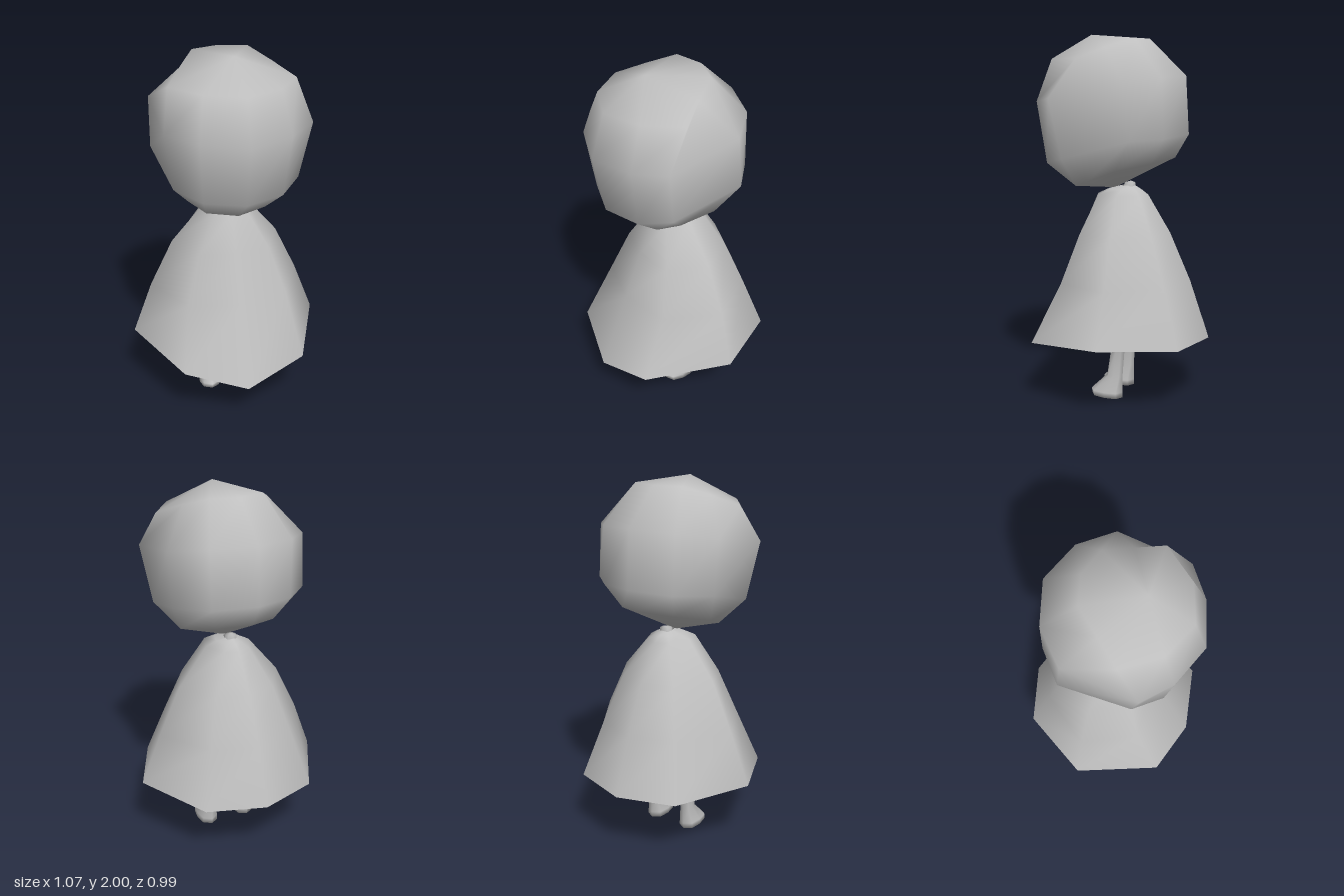
import * as THREE from 'three';

const grey = new THREE.MeshStandardMaterial({ color: 0xbfbfbf, side: THREE.DoubleSide });
grey.name = 'plain grey';

// Smooth skin over rings listed bottom to top; optional end points close it.
function loft(name, rings, bottom, top) {
  const n = rings[0].length, pos = rings.flat(2), index = [];
  for (let i = 0; i < rings.length - 1; i++) {
    for (let j = 0; j < n; j++) {
      const a = i * n + j, b = i * n + (j + 1) % n;
      index.push(a, b, b + n, a, b + n, a + n);
    }
  }
  const last = (rings.length - 1) * n;
  if (bottom) {
    const c = pos.length / 3;
    pos.push(...bottom);
    for (let j = 0; j < n; j++) index.push(c, (j + 1) % n, j);
  }
  if (top) {
    const c = pos.length / 3;
    pos.push(...top);
    for (let j = 0; j < n; j++) index.push(c, last + j, last + (j + 1) % n);
  }
  const geo = new THREE.BufferGeometry();
  geo.setAttribute('position', new THREE.Float32BufferAttribute(pos, 3));
  geo.setIndex(index);
  geo.computeVertexNormals();
  const mesh = new THREE.Mesh(geo, grey);
  mesh.name = name;
  return mesh;
}

// Completes a ring from its +x half, given front to back.
const mirrorRing = half => [
  ...half,
  ...half.slice(1, -1).reverse().map(([x, y, z]) => [-x, y, z]),
];

// Slightly squared oval ring: centre x, half width, front z and y, back z and y.
function oval(cx, w, zf, yf, zb, yb, n = 8) {
  return Array.from({ length: n }, (_, j) => {
    const a = j / n * Math.PI * 2, s = Math.sin(a), t = (1 - Math.cos(a)) / 2;
    return [cx + w * Math.sign(s) * Math.abs(s) ** 0.6, yf + (yb - yf) * t, zf + (zb - zf) * t];
  });
}

// Ten-sided head whose rings tip down towards the face
function head() {
  const rings = [
    [[0, 1.18, 0.27], [0.16, 1.19, 0.215], [0.235, 1.225, 0.12],
      [0.295, 1.287, -0.05], [0.17, 1.32, -0.21], [0, 1.345, -0.30]],
    [[0, 1.305, 0.425], [0.21, 1.315, 0.36], [0.335, 1.35, 0.23],
      [0.378, 1.45, -0.15], [0.225, 1.455, -0.29], [0, 1.47, -0.373]],
    [[0, 1.63, 0.485], [0.235, 1.645, 0.405], [0.385, 1.665, 0.28],
      [0.385, 1.74, -0.12], [0.23, 1.768, -0.28], [0, 1.78, -0.355]],
    [[0, 1.865, 0.41], [0.2, 1.868, 0.33], [0.335, 1.865, 0.15],
      [0.24, 1.925, 0.02], [0.15, 1.975, -0.11], [0, 1.975, -0.155]],
  ];
  return loft('head', rings.map(mirrorRing), [0, 1.17, 0.04], [0, 2.0, 0.175]);
}

// Eight-sided cloak with a pointed front hem and a shallow hollow underside
function cloak() {
  const hem = mirrorRing([
    [0, 0.237, 0.497], [0.335, 0.34, 0.415], [0.533, 0.388, -0.02],
    [0.32, 0.36, -0.40], [0, 0.355, -0.497],
  ]);
  // y, front z, half width, back z
  const upper = [
    [0.67, 0.33, 0.425, -0.39],
    [0.93, 0.23, 0.30, -0.275],
    [1.135, 0.14, 0.13, -0.15],
    [1.165, 0.075, 0.075, -0.11],
    [1.185, 0.0, 0.035, -0.075],
  ].map(([y, f, w, b]) => mirrorRing([
    [0, y, f], [0.65 * w, y, f * 0.83 + b * 0.03], [w, y, (f + b) / 2],
    [0.57 * w, y, b * 0.78], [0, y, b],
  ]));
  const group = new THREE.Group();
  group.name = 'cloak';
  group.add(loft('cloakOutside', [hem, ...upper]), loft('cloakUnderside', [hem], null, [0, 0.6, -0.02]));
  return group;
}

// Short neck between cloak and head
function neck() {
  return loft('neck', [
    oval(0, 0.035, 0.0, 1.15, -0.075, 1.15),
    oval(0, 0.03, -0.015, 1.2, -0.075, 1.2),
  ], null, [0, 1.21, -0.05]);
}

// Hips joining the legs under the cloak
function hips() {
  return loft('hips', [
    oval(0, 0.09, 0.04, 0.46, -0.07, 0.46),
    oval(0, 0.16, 0.055, 0.51, -0.085, 0.51),
    oval(0, 0.13, 0.05, 0.57, -0.085, 0.57),
  ], [0, 0.44, -0.02], [0, 0.61, -0.02]);
}

// Leg and foot in one skin
function leg(name, s) {
  return loft(name, [
    oval(s * 0.115, 0.056, 0.14, 0.013, -0.036, 0.0),
    oval(s * 0.115, 0.054, 0.145, 0.04, -0.036, 0.03),
    oval(s * 0.113, 0.035, 0.052, 0.13, -0.036, 0.12),
    oval(s * 0.108, 0.042, 0.032, 0.27, -0.046, 0.27),
    oval(s * 0.107, 0.052, 0.045, 0.38, -0.068, 0.38),
    oval(s * 0.1, 0.062, 0.055, 0.48, -0.08, 0.48),
    oval(s * 0.085, 0.06, 0.05, 0.55, -0.08, 0.55),
  ], [s * 0.115, 0.005, 0.03], [s * 0.08, 0.58, -0.02]);
}

export function createModel() {
  const model = new THREE.Group();
  model.name = 'cloakedFigure';
  model.add(head(), cloak(), neck(), hips(), leg('leftLeg', 1), leg('rightLeg', -1));
  return model;
}
